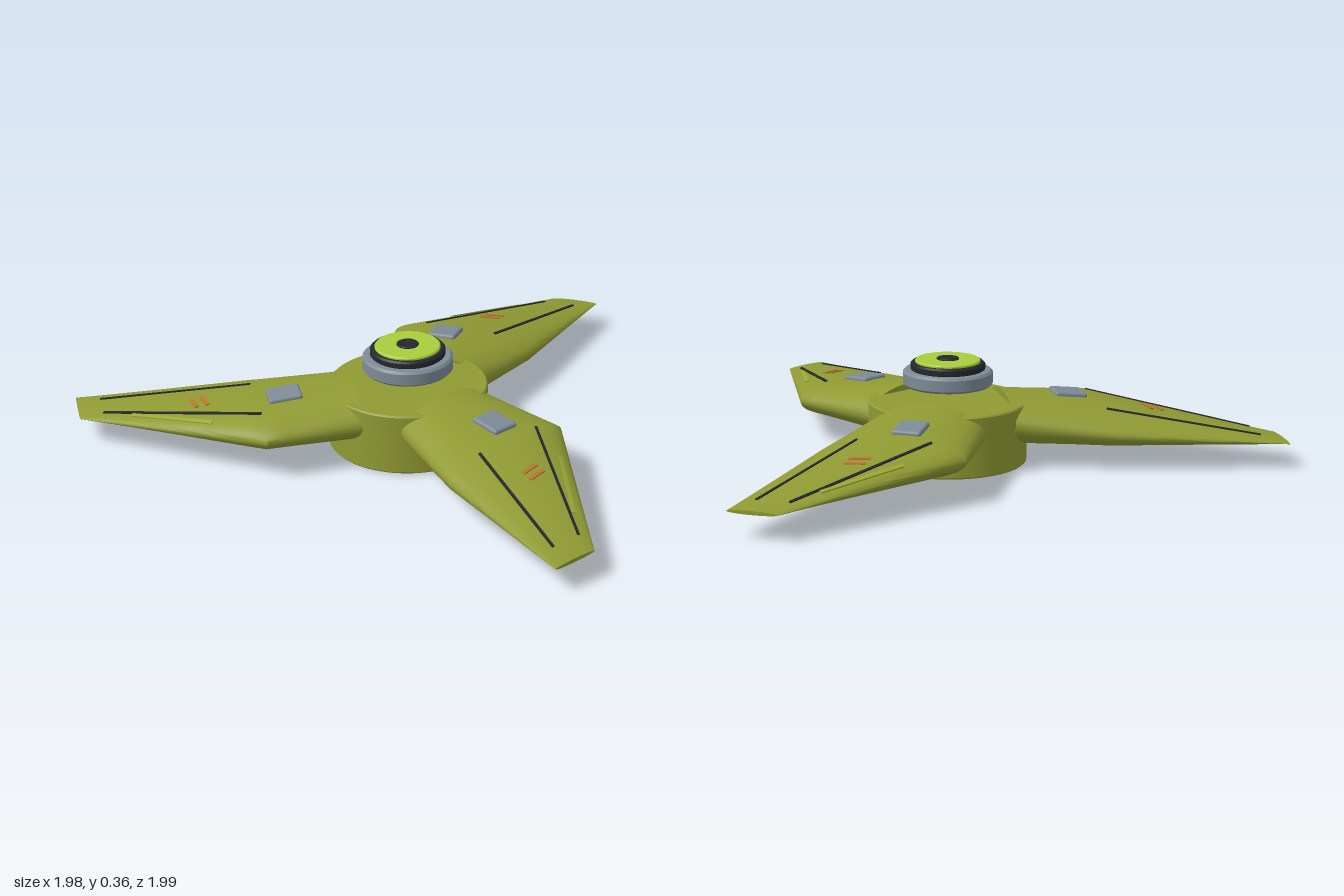
import * as THREE from 'three';
import { toCreasedNormals } from 'three/addons/utils/BufferGeometryUtils.js';
import { RoundedBoxGeometry } from 'three/addons/geometries/RoundedBoxGeometry.js';

const material = (name, color) => {
  const m = new THREE.MeshStandardMaterial({ color });
  m.name = name;
  return m;
};

// Blade sections: distance from the hub axis, z range, y range, edge tilt
const SECTIONS = [
  [0.19, -0.19, 0.2, 0.06, 0.235, 0.0],
  [0.52, -0.22, 0.29, 0.061, 0.2, 0.012],
  [1.1, 0.215, 0.385, 0.083, 0.096, 0.0],
];

function sectionAt(x) {
  const i = x < SECTIONS[1][0] ? 0 : 1;
  const a = SECTIONS[i], b = SECTIONS[i + 1];
  const t = (x - a[0]) / (b[0] - a[0]);
  const [, z0, z1, y0, y1, tilt] = a.map((v, k) => v + (b[k] - v) * t);
  return { cz: (z0 + z1) / 2, rz: (z1 - z0) / 2, cy: (y0 + y1) / 2, ry: (y1 - y0) / 2, tilt };
}

// Height of the blade's upper skin
function topAt(x, z) {
  const s = sectionAt(x);
  const t = THREE.MathUtils.clamp((z - s.cz) / s.rz, -1, 1);
  return s.cy + s.ry * Math.sqrt(1 - t * t) - s.tilt * t;
}

function bladeGeometry() {
  const xs = [];
  for (let i = 0; i < 6; i++) xs.push(0.19 + 0.055 * i);
  for (let i = 0; i <= 10; i++) xs.push(0.52 + 0.058 * i);
  const n = 48, pos = [], idx = [];
  xs.forEach((x) => {
    const s = sectionAt(x);
    for (let j = 0; j < n; j++) {
      const a = (j / n) * Math.PI * 2, c = Math.cos(a);
      pos.push(x, s.cy + s.ry * Math.sin(a) - s.tilt * c, s.cz + s.rz * c);
    }
  });
  for (let i = 0; i < xs.length - 1; i++) {
    for (let j = 0; j < n; j++) {
      const k = (j + 1) % n, p = i * n, q = p + n;
      idx.push(p + j, q + j, p + k, q + j, q + k, p + k);
    }
  }
  // Close root and tip
  const last = (xs.length - 1) * n;
  for (let j = 1; j < n - 1; j++) {
    idx.push(0, j, j + 1, last, last + j + 1, last + j);
  }
  const g = new THREE.BufferGeometry();
  g.setAttribute('position', new THREE.Float32BufferAttribute(pos, 3));
  g.setIndex(idx);
  return toCreasedNormals(g, 0.7);
}

// Thin strip laid over the blade's upper skin from a to b, each [x, z]
function stripGeometry(a, b, width) {
  const dx = b[0] - a[0], dz = b[1] - a[1], len = Math.hypot(dx, dz);
  const g = new THREE.BoxGeometry(len, 0.008, width, 16, 1, 2);
  g.rotateY(-Math.atan2(dz, dx));
  g.translate((a[0] + b[0]) / 2, 0, (a[1] + b[1]) / 2);
  const p = g.attributes.position;
  for (let i = 0; i < p.count; i++) p.setY(i, p.getY(i) + topAt(p.getX(i), p.getZ(i)));
  g.computeVertexNormals();
  return g;
}

export function createModel() {
  const olive = material('olive body', 0x8f9a33);
  const lime = material('lime light', 0xa9cc3c);
  const moss = material('moss trim', 0x9aa836);
  const grey = material('grey metal', 0x7d8b95);
  const dark = material('dark trim', 0x24282c);
  const orange = material('orange marks', 0xb8782e);

  const model = new THREE.Group();
  model.name = 'threeBladeRotor';
  const rotor = new THREE.Group();
  rotor.name = 'rotor';
  rotor.position.set(-0.11, 0, 0.145);
  model.add(rotor);

  const add = (parent, name, geometry, mat) => {
    const mesh = new THREE.Mesh(geometry, mat);
    mesh.name = name;
    parent.add(mesh);
    return mesh;
  };
  // Turned disc with a small bevel on both rims
  const disc = (name, r, y0, y1, bevel, mat) => {
    const profile = [
      [0, y0], [r - bevel, y0], [r, y0 + bevel], [r, y1 - bevel], [r - bevel, y1], [0, y1],
    ].map(([x, y]) => new THREE.Vector2(x, y));
    add(rotor, name, toCreasedNormals(new THREE.LatheGeometry(profile, 64), 0.5), mat);
  };

  // Hub and the floating cap above it
  disc('hub', 0.272, 0, 0.212, 0.005, olive);
  disc('capBase', 0.154, 0.264, 0.318, 0.008, grey);
  disc('capRing', 0.128, 0.316, 0.344, 0.006, dark);
  disc('capLight', 0.112, 0.34, 0.353, 0.004, lime);
  disc('capCentre', 0.038, 0.35, 0.358, 0.002, dark);

  // Shared blade parts
  const skin = bladeGeometry();
  const stripes = [
    ['rearStripe', [0.52, -0.1], [1.02, 0.205], 0.009, dark],
    ['frontStripe', [0.52, 0.155], [1.02, 0.315], 0.009, dark],
    ['edgeTrim', [0.68, -0.055], [0.93, 0.135], 0.014, moss],
    ['innerMark', [0.68, 0.055], [0.692, 0.125], 0.014, orange],
    ['outerMark', [0.716, 0.06], [0.728, 0.13], 0.014, orange],
  ].map(([name, a, b, w, mat]) => [name, stripGeometry(a, b, w), mat]);
  const padGeometry = new RoundedBoxGeometry(0.115, 0.026, 0.1, 3, 0.01);

  for (let i = 0; i < 3; i++) {
    const blade = new THREE.Group();
    blade.name = 'blade' + (i + 1);
    blade.rotation.y = (i * Math.PI * 2) / 3;
    add(blade, 'bladeSkin', skin, olive);
    stripes.forEach(([name, g, mat]) => add(blade, name, g, mat));
    const pad = add(blade, 'bladePad', padGeometry, grey);
    pad.position.set(0.427, topAt(0.427, 0), 0);
    pad.rotation.z = -0.1;
    rotor.add(blade);
  }
  return model;
}
